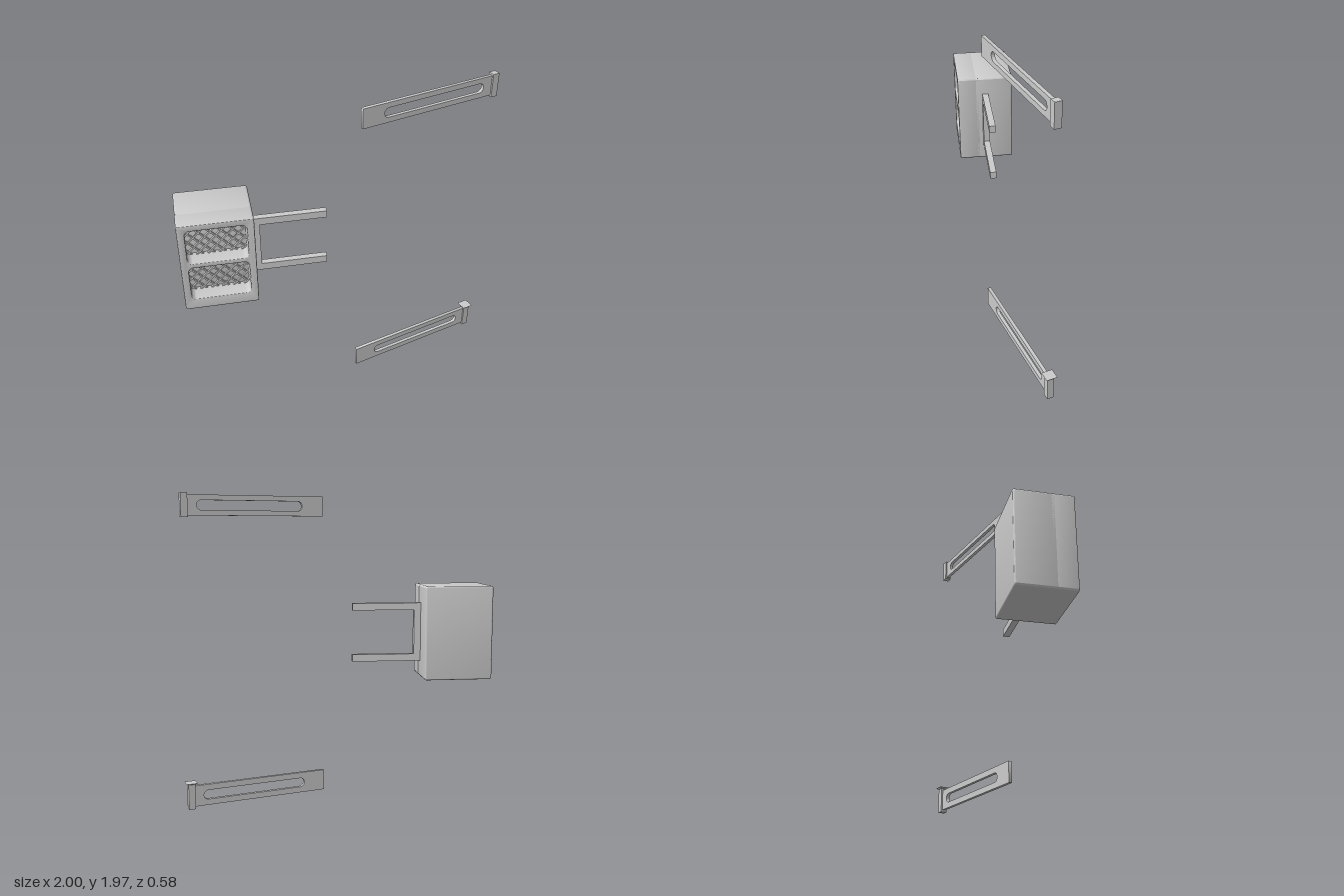
import * as THREE from 'three';
import { toCreasedNormals } from 'three/addons/utils/BufferGeometryUtils.js';

const material = new THREE.MeshStandardMaterial({ color: 0xcccccc });

function add(parent, name, geometry, x = 0, y = 0, z = 0) {
  const mesh = new THREE.Mesh(geometry, material);
  mesh.name = name;
  mesh.position.set(x, y, z);
  parent.add(mesh);
  return mesh;
}

const box = (w, h, d) => new THREE.BoxGeometry(w, h, d);

// Rounded rectangle outline centred on (cx, cy)
function roundedRect(target, cx, cy, w, h, r) {
  const x = w / 2 - r, y = h / 2 - r;
  target.absarc(cx + x, cy + y, r, 0, Math.PI / 2);
  target.absarc(cx - x, cy + y, r, Math.PI / 2, Math.PI);
  target.absarc(cx - x, cy - y, r, Math.PI, Math.PI * 1.5);
  target.absarc(cx + x, cy - y, r, Math.PI * 1.5, Math.PI * 2);
  target.closePath();
  return target;
}

// Extrusion between two z values whose bevel stays inside the outline
function slab(shape, z0, z1, bevel) {
  const geometry = new THREE.ExtrudeGeometry(shape, {
    depth: z1 - z0 - 2 * bevel, curveSegments: 8, bevelEnabled: bevel > 0,
    bevelThickness: bevel, bevelSize: bevel, bevelOffset: -bevel, bevelSegments: 3,
  });
  geometry.translate(0, 0, z0 + bevel);
  return toCreasedNormals(geometry, 0.7);
}

// Diagonal bars crossing a w x h opening, cut at its edges
function lattice(parent, cx, cy, w, h, z) {
  const pitch = 0.066, bar = 0.009;
  const group = new THREE.Group();
  group.name = 'grille';
  group.position.set(cx, cy, z);
  parent.add(group);
  const reach = (w + h) / 2;
  const count = Math.floor(reach / pitch);
  for (const slope of [1, -1]) {
    for (let i = -count; i <= count; i++) {
      // The line y = slope * (x - c)
      const c = i * pitch;
      const x0 = Math.max(-w / 2, c - h / 2), x1 = Math.min(w / 2, c + h / 2);
      if (x1 - x0 < 0.01) continue;
      const xm = (x0 + x1) / 2;
      const mesh = add(group, 'grilleBar', box((x1 - x0) * Math.SQRT2, bar, 0.012),
        xm, slope * (xm - c), slope * 0.001);
      mesh.rotation.z = slope * Math.PI / 4;
    }
  }
}

// Turned housing with two grilled openings and a forked side bracket
function createHousing() {
  const group = new THREE.Group();
  group.name = 'housing';
  const W = 0.44, H = 0.605, D = 0.36, floor = 0.07;
  const outline = () => roundedRect(new THREE.Shape(), 0, 0, W, H, 0.014);
  add(group, 'housingBody', slab(outline(), -D / 2, floor, 0.01));

  const frame = outline();
  const openings = [0.146, -0.114];
  for (const y of openings) {
    frame.holes.push(roundedRect(new THREE.Path(), 0, y, 0.352, 0.23, 0.03));
  }
  add(group, 'frontFrame', slab(frame, floor - 0.03, D / 2, 0.005));
  for (const y of openings) lattice(group, 0, y, 0.36, 0.24, floor + 0.012);

  // Bracket
  const fork = new THREE.Group();
  fork.name = 'sideBracket';
  fork.position.set(W / 2, -0.005, 0);
  group.add(fork);
  add(fork, 'bracketUpright', box(0.046, 0.38, 0.04), 0.021);
  for (const s of [1, -1]) add(fork, 'bracketArm', box(0.45, 0.046, 0.04), 0.225, s * 0.168);
  return group;
}

// Slotted rail ending in a square post
function createRail(name, y, height, postBottom, postTop) {
  const group = new THREE.Group();
  group.name = name;
  const shape = roundedRect(new THREE.Shape(), 0.507, y, 0.88, height, 0.001);
  shape.holes.push(roundedRect(new THREE.Path(), 0.547, y, 0.68, 0.06, 0.0299));
  add(group, 'slottedPlate', slab(shape, -0.011, 0.011, 0));
  add(group, 'endPost', box(0.042, postTop - postBottom, 0.042), 0.965, (postBottom + postTop) / 2);
  return group;
}

export function createModel() {
  const model = new THREE.Group();
  model.name = 'model';

  const housing = createHousing();
  housing.position.set(-0.735, 1.088, -0.052);
  housing.rotation.y = -0.3;
  model.add(housing);

  const upper = createRail('upperRail', 1.893, 0.125, 1.82, 1.967);
  const lower = createRail('lowerRail', 0.081, 0.135, 0, 0.165);

  // Thin flared cap on the lower post
  const cap = new THREE.CylinderGeometry(0.035 * Math.SQRT2, 0.021 * Math.SQRT2, 0.009, 4);
  cap.rotateY(Math.PI / 4);
  add(lower, 'postCap', toCreasedNormals(cap, 0.3), 0.965, 0.1655);

  for (const rail of [upper, lower]) {
    rail.position.z = 0.26;
    model.add(rail);
  }
  return model;
}
